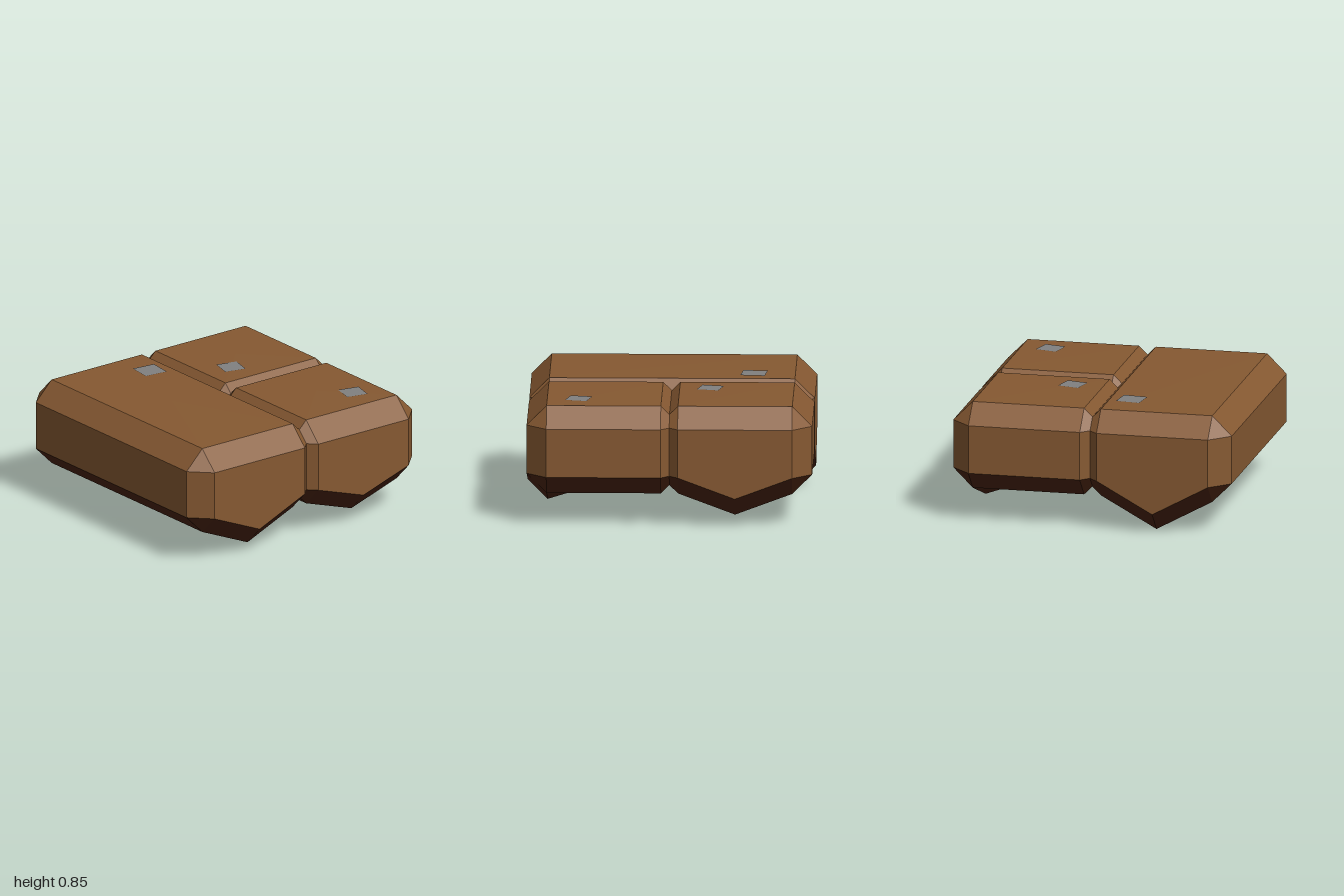
import * as THREE from 'three';

const BEVEL = 0.14;

// Twelve points around a block, anticlockwise from above: each side is corner, middle, corner.
function ring(b, y, inset) {
  const { x0, x1, z0, z1 } = b, mx = (x0 + x1) / 2, mz = (z0 + z1) / 2;
  const pts = [
    [x0 + BEVEL, z1 - inset], [mx, z1 - inset], [x1 - BEVEL, z1 - inset],
    [x1 - inset, z1 - BEVEL], [x1 - inset, mz], [x1 - inset, z0 + BEVEL],
    [x1 - BEVEL, z0 + inset], [mx, z0 + inset], [x0 + BEVEL, z0 + inset],
    [x0 + inset, z0 + BEVEL], [x0 + inset, mz], [x0 + inset, z1 - BEVEL],
  ];
  return pts.map(([x, z]) => new THREE.Vector3(x, y, z));
}

// Flat-shaded skin through a stack of rings, from the lowest to the highest.
function loft(rings) {
  const pos = [];
  const tri = (p, q, r) => {
    const area = new THREE.Triangle(p, q, r).getArea();
    if (area > 1e-6) for (const v of [p, q, r]) pos.push(v.x, v.y, v.z);
  };
  for (let k = 0; k < rings.length - 1; k++) {
    const lo = rings[k], up = rings[k + 1];
    for (let i = 0; i < 12; i++) {
      const j = (i + 1) % 12;
      tri(lo[i], lo[j], up[j]);
      tri(lo[i], up[j], up[i]);
    }
  }
  const g = new THREE.BufferGeometry();
  g.setAttribute('position', new THREE.Float32BufferAttribute(pos, 3));
  g.computeVertexNormals();
  return g;
}

// Chamfered block with a dark underside that hangs in lumps under the middle of some sides.
function makeBlock(b, earth, underside) {
  const mx = (b.x0 + b.x1) / 2, mz = (b.z0 + b.z1) / 2;
  const bottom = ring(b, 0.22, BEVEL), lower = ring(b, 0.36, 0);
  for (const [i, drop] of b.drops) {
    bottom[i].y -= drop;
    lower[i].y -= drop;
  }
  const [hubL, hubR] = b.hubs ?? [mx, mx];
  const bottomHub = bottom.map((p) => new THREE.Vector3(p.x < mx - 0.01 ? hubL : hubR, 0.215, mz));
  const topHub = bottom.map(() => new THREE.Vector3(mx, 0.85, mz));

  const body = new THREE.Mesh(loft([lower, ring(b, 0.705, 0), ring(b, 0.845, BEVEL), topHub]), earth);
  body.name = 'body';
  const base = new THREE.Mesh(loft([bottomHub, bottom, lower]), underside);
  base.name = 'underside';
  const block = new THREE.Group();
  block.name = b.name;
  block.add(body, base);
  return block;
}

export function createModel() {
  const earth = new THREE.MeshStandardMaterial({ color: 0x865932 });
  earth.name = 'earthBrown';
  const underside = new THREE.MeshStandardMaterial({ color: 0x4a2410 });
  underside.name = 'darkSoil';
  const grey = new THREE.MeshStandardMaterial({ color: 0x808080 });
  grey.name = 'stoneGrey';
  const model = new THREE.Group();
  model.name = 'groundBlocks';

  // Three blocks overlapping slightly, so their bevels meet in grooves
  const blocks = [
    { name: 'frontBlock', x0: -1, x1: 1, z0: -0.08, z1: 1, drops: [[10, 0.22], [4, 0.17]], hubs: [-0.42, 0.05] },
    { name: 'backBlockLeft', x0: -0.08, x1: 1, z0: -1, z1: 0.08, drops: [[4, 0.13]] },
    { name: 'backBlockRight', x0: -1, x1: 0.08, z0: -1, z1: 0.08, drops: [[7, 0.15]] },
  ];
  for (const b of blocks) model.add(makeBlock(b, earth, underside));

  // Small flat stones on top: x, z, size, turn
  const stones = [
    [-0.57, 0.215, 0.172, -0.11],
    [0.64, -0.645, 0.155, -0.24],
    [-0.275, -0.275, 0.155, -0.24],
  ];
  for (const [x, z, size, turn] of stones) {
    const stone = new THREE.Mesh(new THREE.PlaneGeometry(size, size).rotateX(-Math.PI / 2), grey);
    stone.name = 'flatStone';
    stone.position.set(x, 0.852, z);
    stone.rotation.y = turn;
    model.add(stone);
  }
  return model;
}
